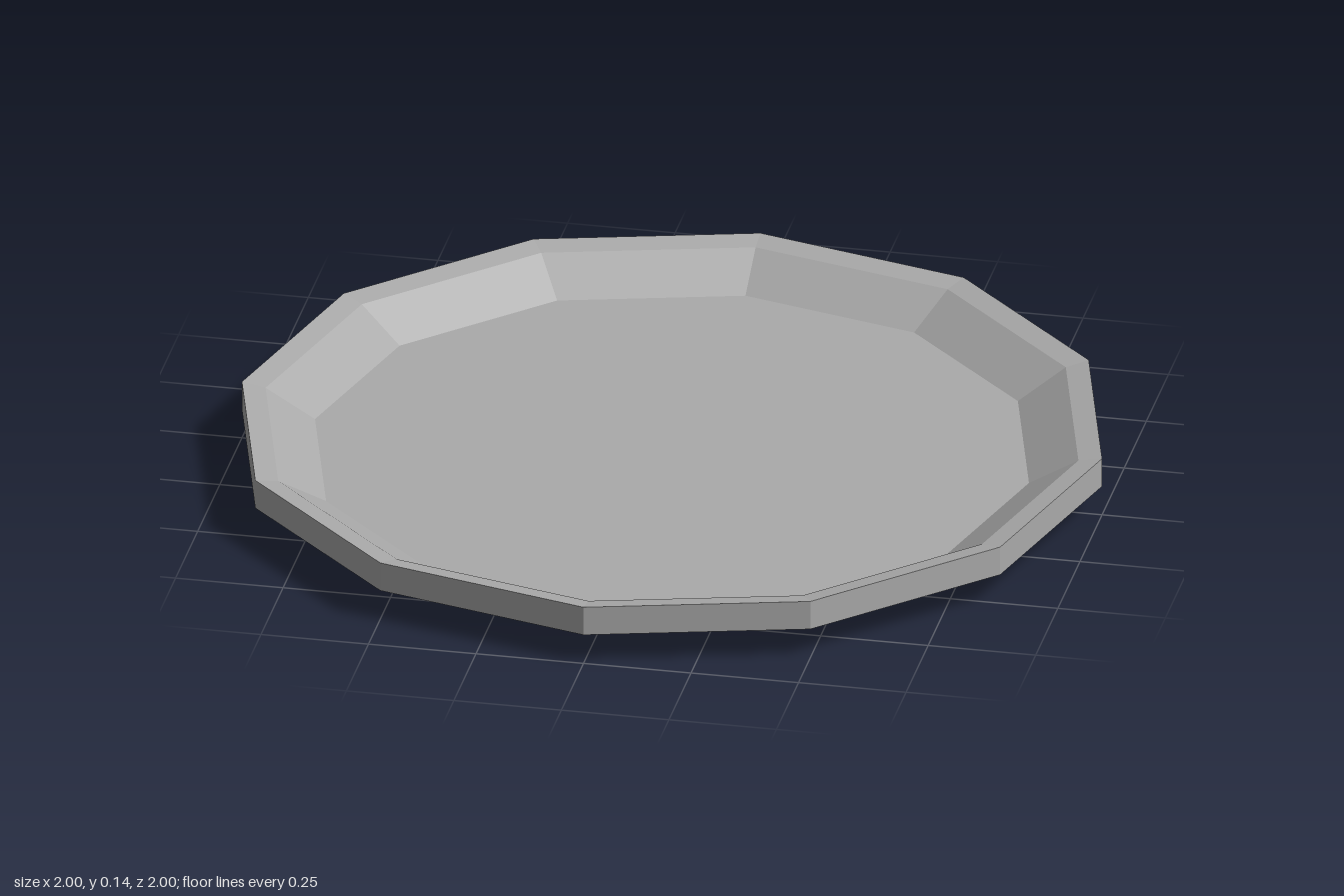
import * as THREE from 'three';

const SIDES = 12;

// Faceted surface of revolution from [radius, height] pairs
function ring(name, points, material) {
  const profile = points.map(([r, y]) => new THREE.Vector2(r, y));
  const mesh = new THREE.Mesh(new THREE.LatheGeometry(profile, SIDES), material);
  mesh.name = name;
  return mesh;
}

export function createModel() {
  const grey = new THREE.MeshStandardMaterial({ color: 0xaaaaaa, flatShading: true });
  grey.name = 'plate grey';

  const plate = new THREE.Group();
  plate.name = 'plate';
  plate.add(
    // Flat base, short foot and flared underside
    ring('underside', [[0, 0], [0.76, 0], [0.82, 0.035], [1, 0.072]], grey),
    // Vertical outer edge and narrow lip sloping inward
    ring('rim', [[1, 0.072], [1, 0.142], [0.945, 0.132]], grey),
    // Sloped inner wall and flat floor
    ring('dish', [[0.945, 0.132], [0.83, 0.064], [0, 0.064]], grey),
  );
  return plate;
}
